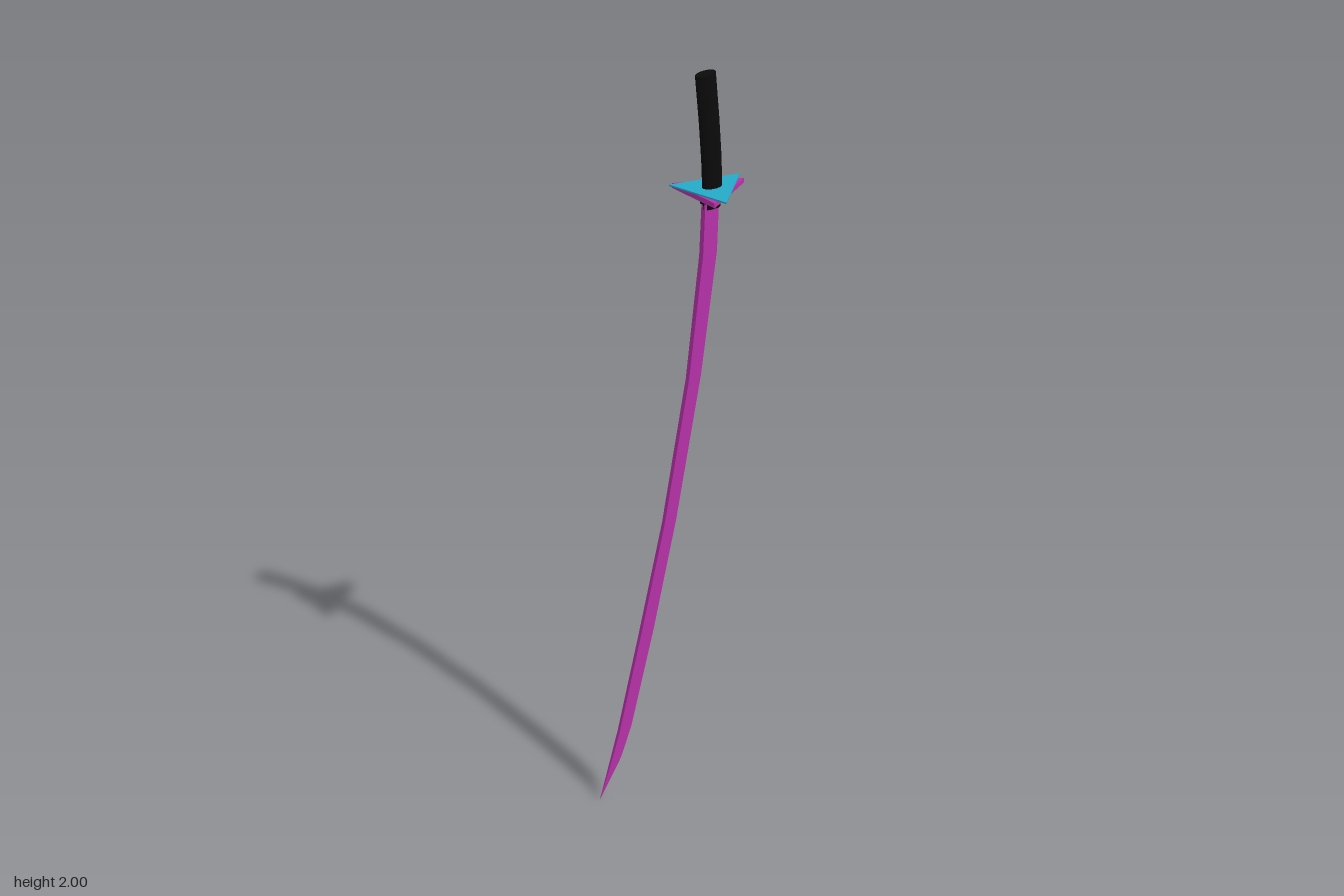
import * as THREE from 'three';

// Closed solid through rings listed bottom to top, each counter-clockwise seen from above
function loft(rings) {
  const pos = [];
  const tri = (a, b, c) => pos.push(...a, ...b, ...c);
  const n = rings[0].length;
  for (let i = 0; i < rings.length - 1; i++) {
    for (let j = 0; j < n; j++) {
      const k = (j + 1) % n;
      const [a, b, c, d] = [rings[i][j], rings[i][k], rings[i + 1][k], rings[i + 1][j]];
      tri(a, b, c);
      tri(a, c, d);
    }
  }
  const bottom = rings[0], top = rings[rings.length - 1];
  for (let j = 1; j < n - 1; j++) {
    tri(top[0], top[j], top[j + 1]);
    tri(bottom[0], bottom[j + 1], bottom[j]);
  }
  const g = new THREE.BufferGeometry();
  g.setAttribute('position', new THREE.Float32BufferAttribute(pos, 3));
  g.computeVertexNormals();
  return g;
}

// Oval ring at height y, optionally tilted along z
function oval(y, zc, rx, rz, tilt = 0) {
  return Array.from({ length: 16 }, (_, i) => {
    const a = (i / 16) * Math.PI * 2;
    const dz = -Math.sin(a) * rz;
    return [Math.cos(a) * rx, y + dz * tilt, zc + dz];
  });
}

// Flat three-cornered plate from [x, z] corners, counter-clockwise seen from above
const plate = (corners, y0, y1) =>
  loft([y0, y1].map((y) => corners.map(([x, z]) => [x, y, z])));

export function createModel() {
  const magenta = new THREE.MeshStandardMaterial({ name: 'magenta', color: 0xb832aa, flatShading: true });
  const cyan = new THREE.MeshStandardMaterial({ name: 'cyan', color: 0x25aac6, flatShading: true });
  const black = new THREE.MeshStandardMaterial({ name: 'black', color: 0x0b0b0b, flatShading: true });

  const model = new THREE.Group();
  model.name = 'sword';
  const add = (parent, name, geometry, material) => {
    const mesh = new THREE.Mesh(geometry, material);
    mesh.name = name;
    parent.add(mesh);
  };

  // Blade and grip lie in one upright plane, turned slightly about y
  const body = new THREE.Group();
  body.name = 'bladeAndGrip';
  body.position.x = -0.0186;
  body.rotation.y = -0.11;
  model.add(body);

  // Blade: [height, spine z, edge z, half thickness of spine]
  const sections = [
    [0, 0.237, 0.236, 0.0005],
    [0.11, 0.2, 0.165, 0.004],
    [0.2, 0.172, 0.13, 0.005],
    [0.48, 0.1, 0.055, 0.0055],
    [0.8, 0.021, -0.021, 0.006],
    [1.2, -0.056, -0.099, 0.007],
    [1.53, -0.097, -0.146, 0.008],
    [1.69, -0.104, -0.152, 0.008],
  ];
  add(body, 'blade', loft(sections.map(([y, zs, ze, w]) => [[-w, y, zs], [w, y, zs], [0, y, ze]])), magenta);

  // Grip: curved oval bar with a tilted end
  add(body, 'grip', loft([
    oval(1.69, -0.13, 0.0175, 0.0275),
    oval(1.78, -0.126, 0.0175, 0.028, -0.05),
    oval(1.88, -0.118, 0.0175, 0.028, -0.08),
    oval(1.997, -0.106, 0.0175, 0.028, -0.1),
  ]), black);

  // Stepped collar under the guard
  add(body, 'upperCollar', loft([oval(1.668, -0.128, 0.015, 0.034), oval(1.695, -0.128, 0.015, 0.034)]), black);
  add(body, 'lowerCollar', loft([oval(1.65, -0.128, 0.011, 0.026), oval(1.67, -0.128, 0.011, 0.026)]), black);

  // Guard: two offset triangles
  add(model, 'lowerGuard', plate([[0, -0.232], [-0.095, -0.079], [0.07, -0.066]], 1.688, 1.701), magenta);
  add(model, 'upperGuard', plate([[-0.019, -0.237], [-0.083, -0.058], [0.094, -0.082]], 1.702, 1.706), cyan);

  return model;
}
